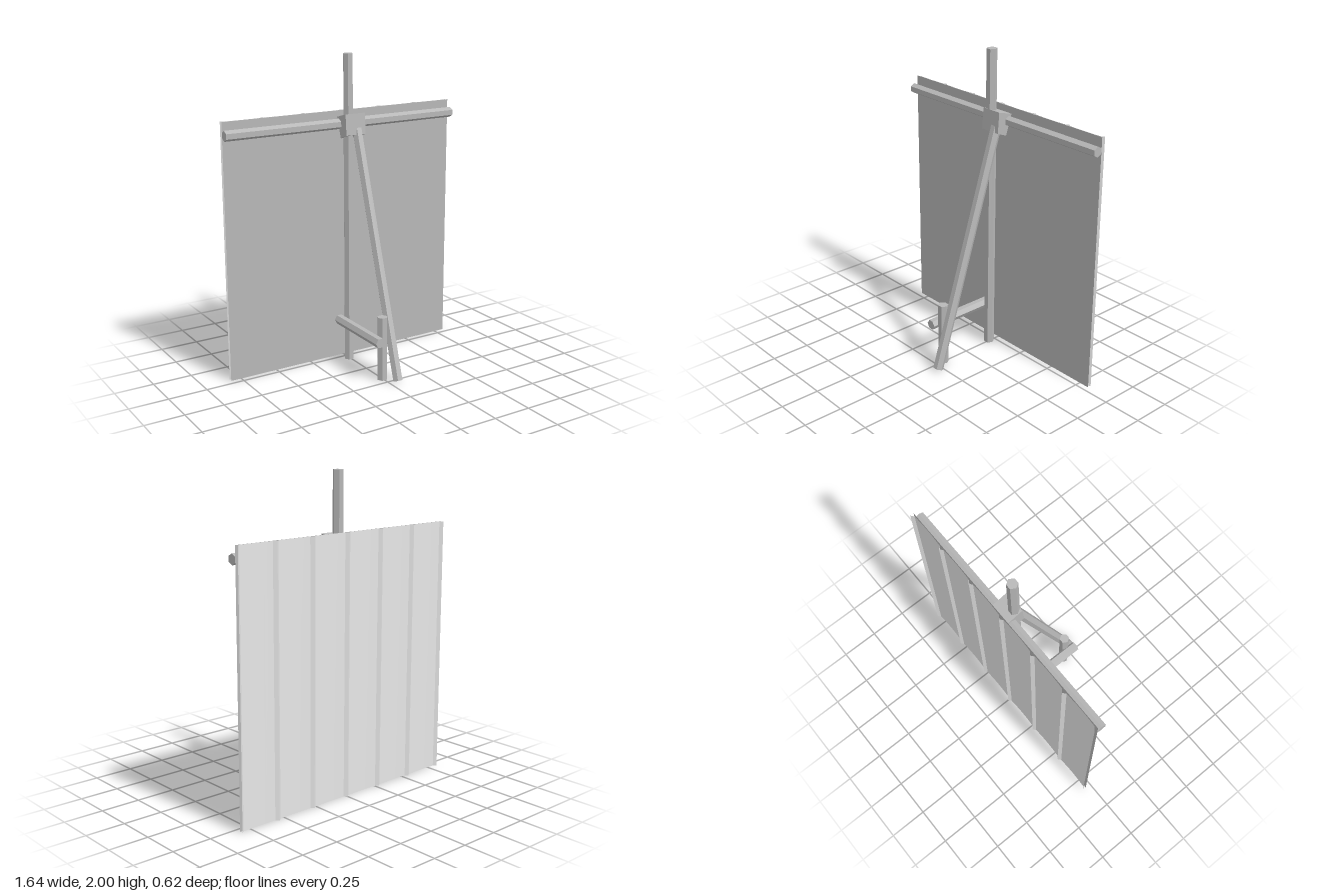
import * as THREE from 'three';

const HEIGHT = 1.64, HALF = 0.82;
const FRONT = -0.287, BAY = -0.291, BOW = 0.004, RIDGE = -0.311; // panel depths in z
const BAYS = 6, RIB = 0.02;

export function createModel() {
  const model = new THREE.Group();
  model.name = 'propPanel';
  const grey = new THREE.MeshStandardMaterial({ color: 0xb7b7b7, side: THREE.DoubleSide });
  grey.name = 'mid grey';
  const paleGrey = new THREE.MeshStandardMaterial({ color: 0xe6e6e6, side: THREE.DoubleSide });
  paleGrey.name = 'pale grey';

  function add(parent, name, geometry, material) {
    const mesh = new THREE.Mesh(geometry, material);
    mesh.name = name;
    parent.add(mesh);
    return mesh;
  }

  // Hexagonal pole between two points, with flat sides
  function pole(name, from, to) {
    const a = new THREE.Vector3(...from), b = new THREE.Vector3(...to);
    const dir = b.clone().sub(a);
    const geometry = new THREE.CylinderGeometry(0.033, 0.033, dir.length(), 6, 1, false, Math.PI / 6).toNonIndexed();
    geometry.computeVertexNormals();
    const mesh = add(model, name, geometry, grey);
    mesh.position.copy(a).add(b).multiplyScalar(0.5);
    mesh.quaternion.setFromUnitVectors(new THREE.Vector3(0, 1, 0), dir.normalize());
  }

  // Upright sheet following an [x, z] profile
  function sheet(parent, name, profile, material) {
    const positions = [], index = [];
    profile.forEach(([x, z], i) => {
      positions.push(x, 0, z, x, HEIGHT, z);
      if (i) {
        const k = 2 * i;
        index.push(k - 2, k, k + 1, k - 2, k + 1, k - 1);
      }
    });
    const geometry = new THREE.BufferGeometry();
    geometry.setAttribute('position', new THREE.Float32BufferAttribute(positions, 3));
    geometry.setIndex(index);
    geometry.computeVertexNormals();
    add(parent, name, geometry, material);
  }

  // Panel: flat front, back of shallow hollow bays between sharp ribs
  const panel = new THREE.Group();
  panel.name = 'panel';
  model.add(panel);
  sheet(panel, 'panelFront', [[-HALF, FRONT], [HALF, FRONT]], grey);
  const width = 2 * HALF / BAYS;
  for (let i = 0; i < BAYS; i++) {
    const start = HALF - i * width, end = start - width;
    const bay = [];
    for (let j = 0; j <= 8; j++) {
      const t = j / 8;
      bay.push([THREE.MathUtils.lerp(start - RIB, end + RIB, t), BAY - BOW * (2 * t - 1) ** 2]);
    }
    sheet(panel, 'bay', bay, paleGrey);
    sheet(panel, 'ribSide', [[start, RIDGE], bay[0]], paleGrey);
    sheet(panel, 'ribSide', [bay[8], [end, RIDGE]], paleGrey);
  }

  // Poles
  pole('mainPost', [-0.003, 0, -0.206], [-0.003, 2, -0.206]);
  pole('shortPost', [-0.003, 0, 0.19], [-0.003, 0.415, 0.19]);
  pole('topRail', [-HALF, 1.56, -0.257], [HALF, 1.56, -0.257]);
  pole('footRail', [-0.054, 0.27, -0.247], [-0.054, 0.27, 0.25]);
  pole('brace', [0.054, 0.011, 0.283], [0.054, 1.54, -0.199]);

  // Wedge bracket joining post, rail and brace; side outline is drawn in (-z, y)
  const outline = new THREE.Shape([[0.176, 1.63], [0.166, 1.498], [0.235, 1.472], [0.278, 1.602]]
    .map(([x, y]) => new THREE.Vector2(x, y)));
  const wedge = new THREE.ExtrudeGeometry(outline, { depth: 0.14, bevelEnabled: false });
  const bracket = add(model, 'bracket', wedge, grey);
  bracket.rotation.y = Math.PI / 2;
  bracket.position.x = -0.04;

  return model;
}
